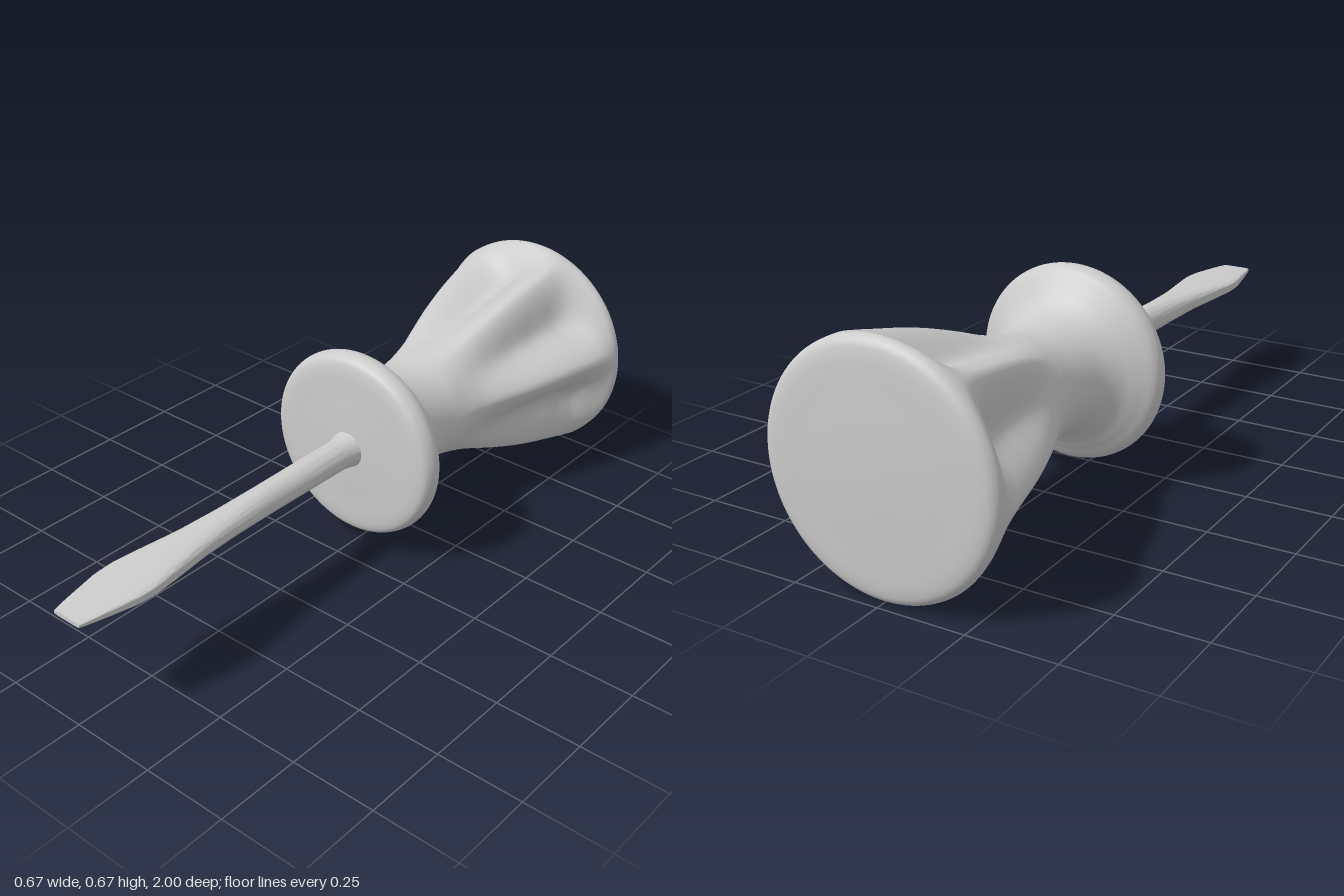
import * as THREE from 'three';
import { mergeVertices, toCreasedNormals } from 'three/addons/utils/BufferGeometryUtils.js';

const AXIS_Y = 0.335;

// Linear lookup in a table of [position, value, value...] rows
function sample(rows, t, column) {
  for (let i = 1; i < rows.length; i++) {
    if (t <= rows[i][0]) {
      const a = rows[i - 1], b = rows[i];
      const k = THREE.MathUtils.clamp((t - a[0]) / (b[0] - a[0]), 0, 1);
      return THREE.MathUtils.lerp(a[column], b[column], k);
    }
  }
  return rows[rows.length - 1][column];
}

// Solid of revolution along z (profile is [radius, -z]), reshaped by a rule and welded
function turned(profile, segments, rule) {
  let geo = new THREE.LatheGeometry(profile, segments);
  geo.rotateX(-Math.PI / 2);
  geo.deleteAttribute('uv');
  geo.deleteAttribute('normal');
  const pos = geo.attributes.position;
  const v = new THREE.Vector3();
  for (let i = 0; i < pos.count; i++) {
    rule(v.fromBufferAttribute(pos, i));
    pos.setXYZ(i, v.x, v.y, v.z);
  }
  geo = mergeVertices(geo, 1e-5);
  geo.computeVertexNormals();
  return geo;
}

function handleGeometry() {
  const outline = [
    [0, 0.04], [0.055, 0.041], [0.16, 0.045], [0.25, 0.05], [0.272, 0.06], [0.283, 0.088],
    [0.275, 0.115], [0.24, 0.142], [0.2, 0.172], [0.17, 0.215], [0.156, 0.28], [0.157, 0.35],
    [0.182, 0.45], [0.215, 0.53], [0.25, 0.62], [0.282, 0.72], [0.308, 0.82], [0.328, 0.9],
    [0.336, 0.945], [0.331, 0.97], [0.312, 0.985], [0.2, 0.994], [0.1, 0.998], [0, 1],
  ].map(([r, h]) => new THREE.Vector3(r, h, 0));
  const profile = new THREE.CatmullRomCurve3(outline, false, 'centripetal')
    .getPoints(140).map(p => new THREE.Vector2(Math.max(p.x, 0), p.y));

  // Six scooped flutes: shallow at the neck, deep below the round rim
  const depths = [[0.38, 0], [0.45, 0.012], [0.54, 0.04], [0.64, 0.066], [0.74, 0.082],
    [0.84, 0.085], [0.88, 0.072], [0.915, 0.035], [0.945, 0.005], [0.96, 0]];
  const firstFlute = THREE.MathUtils.degToRad(100);
  return turned(profile, 144, v => {
    const r = Math.hypot(v.x, v.y);
    if (r < 1e-6) return;
    const wave = Math.cos(3 * (Math.atan2(v.y, v.x) - firstFlute)) ** 2;
    const cut = sample(depths, -v.z, 1) * Math.pow(wave, 0.75);
    const k = (r - cut) / r;
    v.x *= k;
    v.y *= k;
  });
}

function bladeGeometry() {
  // z, half width, half thickness, squareness
  const sections = [[-0.06, 0.06, 0.06, 0], [-0.03, 0.05, 0.05, 0], [0, 0.045, 0.045, 0],
    [0.32, 0.043, 0.043, 0], [0.45, 0.047, 0.037, 0.15], [0.58, 0.056, 0.03, 0.35],
    [0.7, 0.072, 0.024, 0.6], [0.78, 0.082, 0.019, 0.75], [0.84, 0.08, 0.016, 0.8],
    [0.93, 0.062, 0.011, 0.85], [0.975, 0.053, 0.008, 0.85], [1, 0.046, 0.006, 0.85]];
  const profile = [new THREE.Vector2(0, -1)];
  for (let i = 0; i <= 48; i++) profile.push(new THREE.Vector2(1, -1 + (1.06 * i) / 48));

  const power = (c, p) => Math.sign(c) * Math.pow(Math.abs(c), p);
  const geo = turned(profile, 40, v => {
    const r = Math.hypot(v.x, v.y);
    if (r < 1e-6) return;
    const p = 1 - 0.75 * sample(sections, v.z, 3);
    v.x = power(v.x / r, p) * sample(sections, v.z, 1);
    v.y = power(v.y / r, p) * sample(sections, v.z, 2);
  });
  return toCreasedNormals(geo, 0.7);
}

export function createModel() {
  const group = new THREE.Group();
  const material = new THREE.MeshStandardMaterial({ color: 0xcccccc });
  const add = (name, geometry) => {
    const mesh = new THREE.Mesh(geometry, material);
    mesh.name = name;
    mesh.position.y = AXIS_Y;
    group.add(mesh);
    return mesh;
  };

  // Fluted grip with its flared guard
  add('handle', handleGeometry()).position.y = 0.337;
  // Round shaft flattening into the tip
  add('blade', bladeGeometry());
  return group;
}
